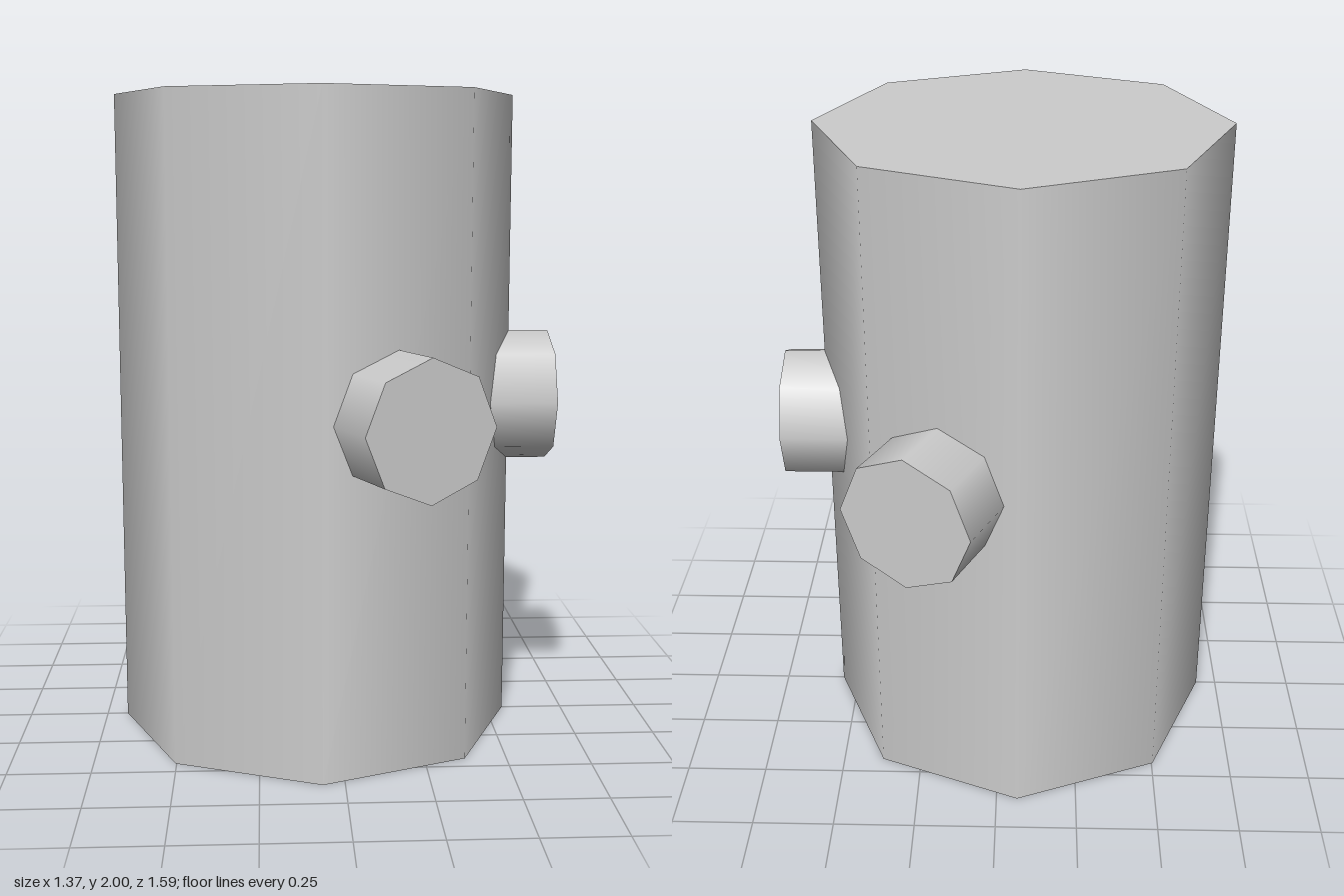
import * as THREE from 'three';

const CENTRE_X = -0.065;
const PEG_Y = 1.055;

export function createModel() {
  const model = new THREE.Group();
  const grey = new THREE.MeshStandardMaterial({ color: 0xcccccc });
  grey.name = 'light grey';

  // Eight-sided upright body with smooth sides
  const body = new THREE.Mesh(new THREE.CylinderGeometry(0.62, 0.62, 2, 8), grey);
  body.name = 'body';
  body.position.set(CENTRE_X, 1, 0);
  model.add(body);

  // Short peg pointing outwards; angle in degrees from +x towards +z
  function addPeg(name, angle, reach) {
    const inner = 0.4;
    const geometry = new THREE.CylinderGeometry(0.207, 0.207, reach - inner, 8);
    geometry.rotateZ(-Math.PI / 2);
    geometry.translate((reach + inner) / 2, 0, 0);
    const peg = new THREE.Mesh(geometry, grey);
    peg.name = name;
    peg.position.set(CENTRE_X, PEG_Y, 0);
    peg.rotation.y = -THREE.MathUtils.degToRad(angle);
    model.add(peg);
  }
  addPeg('frontPeg', 67.2, 0.771);
  addPeg('leftPeg', 0, 0.745);
  addPeg('backPeg', -66, 0.781);

  return model;
}
